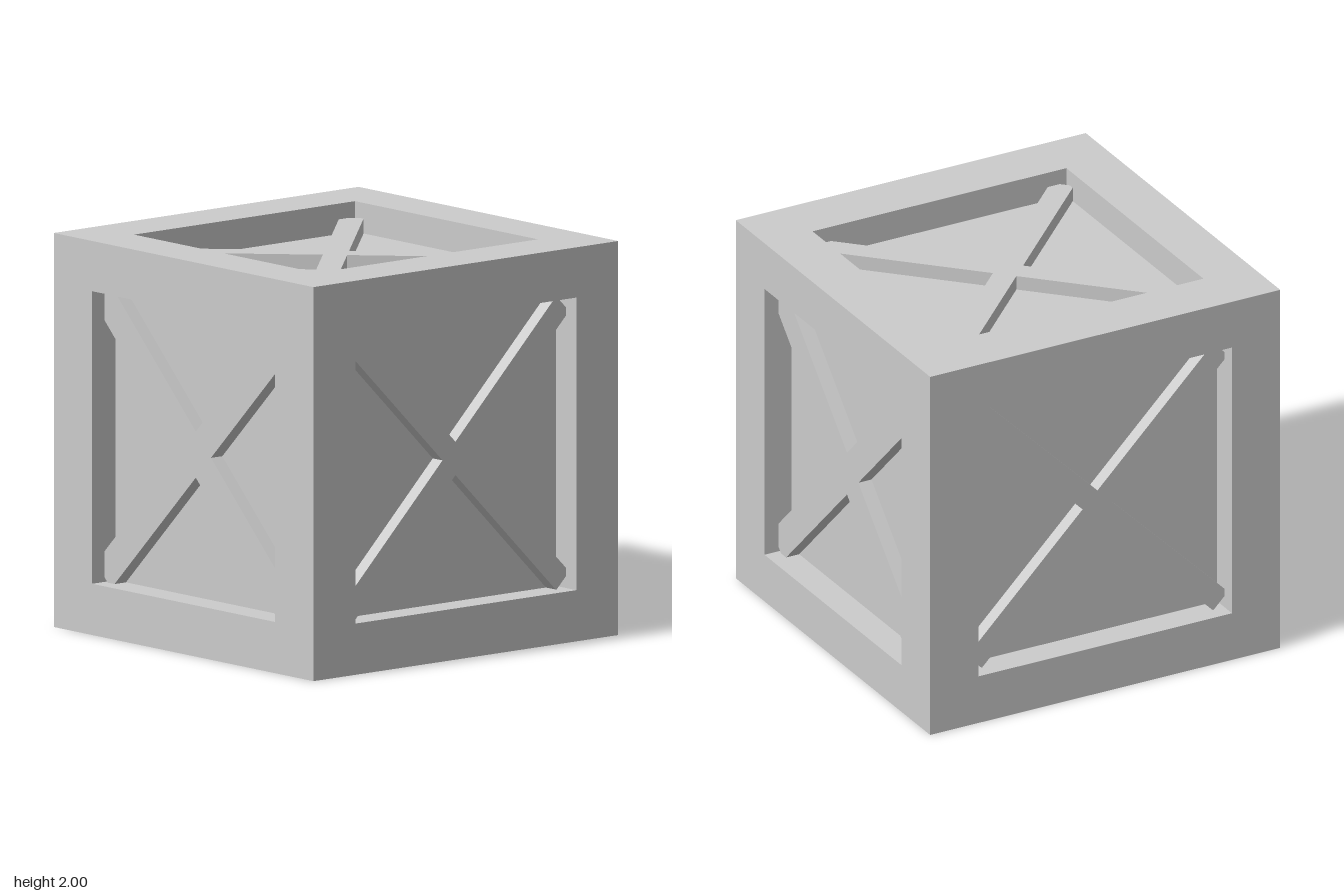
import * as THREE from 'three';

const material = new THREE.MeshStandardMaterial({ color: 0xcccccc, flatShading: true });

// Box given by its lower and upper corner
function boxBetween(name, a, b) {
  const size = b.map((v, i) => v - a[i]);
  const mesh = new THREE.Mesh(new THREE.BoxGeometry(...size), material);
  mesh.position.set(...a.map((v, i) => (v + b[i]) / 2));
  mesh.name = name;
  return mesh;
}

// Diagonal cross lying in a face: one solid X with square-cut ends
function crossBrace(name, width, armLength, front) {
  const w = width / 2, L = armLength, back = 0.8;
  const quarter = [[L, -w], [L, w], [w, w]];
  const points = [];
  for (let k = 0; k < 4; k++) {
    for (const [x, y] of quarter) {
      points.push(new THREE.Vector2(x, y).rotateAround(new THREE.Vector2(), k * Math.PI / 2 + Math.PI / 4));
    }
  }
  const geometry = new THREE.ExtrudeGeometry(new THREE.Shape(points), { depth: front - back, bevelEnabled: false });
  geometry.translate(0, 0, back);
  const mesh = new THREE.Mesh(geometry, material);
  mesh.name = name;
  return mesh;
}

export function createModel() {
  const crate = new THREE.Group();
  crate.name = 'crate';

  // Openings between the frame beams
  const ox = 0.705, oz = 0.725, y0 = 0.26, y1 = 1.745;

  // Recessed panels on all six sides
  crate.add(boxBetween('panels', [-0.845, 0.155, -0.845], [0.845, 1.845, 0.845]));

  // Frame: four corner posts, then rails along x and z at bottom and top
  const frame = new THREE.Group();
  frame.name = 'frame';
  const xEnds = [[-1, -ox], [ox, 1]], zEnds = [[-1, -oz], [oz, 1]], yEnds = [[0, y0], [y1, 2]];
  for (const [xa, xb] of xEnds) {
    for (const [za, zb] of zEnds) frame.add(boxBetween('cornerPost', [xa, 0, za], [xb, 2, zb]));
    for (const [ya, yb] of yEnds) frame.add(boxBetween('sideRail', [xa, ya, -oz], [xb, yb, oz]));
  }
  for (const [za, zb] of zEnds) {
    for (const [ya, yb] of yEnds) frame.add(boxBetween('crossRail', [-ox, ya, za], [ox, yb, zb]));
  }
  crate.add(frame);

  // Cross braces: wide on front and back, slimmer on the other faces
  const q = Math.PI / 2;
  const braces = [
    ['frontBrace', 0.165, 1.005, 0, 0],
    ['backBrace', 0.165, 1.005, 0, 2 * q],
    ['leftBrace', 0.12, 0.995, 0, q],
    ['rightBrace', 0.12, 0.995, 0, -q],
    ['topBrace', 0.122, 0.985, -q, 0],
    ['bottomBrace', 0.122, 0.985, q, 0],
  ];
  for (const [name, width, arm, rx, ry] of braces) {
    const brace = crossBrace(name, width, arm, 0.92);
    brace.rotation.set(rx, ry, 0);
    brace.position.y = rx ? 1 : (y0 + y1) / 2;
    crate.add(brace);
  }
  return crate;
}
